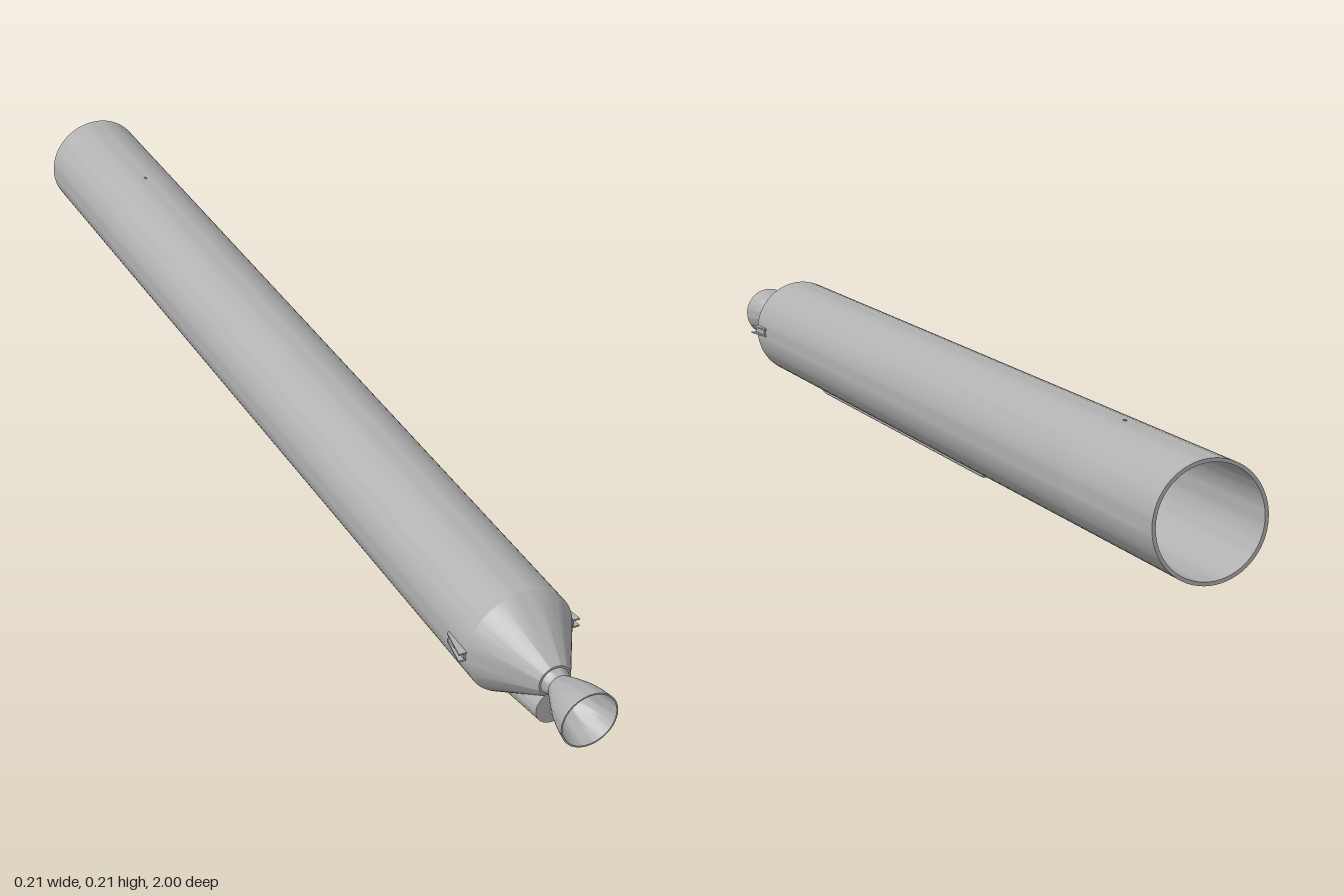
import * as THREE from 'three';
import { toCreasedNormals } from 'three/addons/utils/BufferGeometryUtils.js';

const AXIS_Y = 0.119;
const R = 0.094;

export function createModel() {
  const model = new THREE.Group();
  const metal = new THREE.MeshStandardMaterial({ color: 0xb0b0b0, side: THREE.DoubleSide });
  metal.name = 'plain grey metal';

  const add = (name, geometry, x = 0, y = 0, z = 0) => {
    const mesh = new THREE.Mesh(geometry, metal);
    mesh.name = name;
    mesh.position.set(x, y, z);
    model.add(mesh);
    return mesh;
  };

  // Revolves a [radius, z] profile around the long axis
  const turn = (name, profile, segments = 64) => {
    const points = profile.map(([r, z]) => new THREE.Vector2(r, z));
    const geometry = new THREE.LatheGeometry(points, segments).rotateX(Math.PI / 2);
    return add(name, toCreasedNormals(geometry, 0.45), 0, AXIS_Y, 0);
  };

  // Tank shell, and hollow rear skirt with a thin wall
  turn('tank', [[R, -0.69], [R, 0.79]]);
  turn('rearSkirt', [[R - 0.006, -0.69], [R - 0.006, -1], [R, -1], [R, -0.69]]);

  // Domed bulkhead closing the inside of the skirt
  const dome = [];
  for (let i = 0; i <= 10; i++) {
    const a = (i / 10) * Math.PI / 2;
    dome.push([(R - 0.006) * Math.sin(a), -0.69 - 0.045 * Math.cos(a)]);
  }
  turn('tankBulkhead', dome);

  // Tapered engine bay with a small front plate
  turn('engineCone', [[R, 0.79], [0.028, 0.898], [0, 0.898]]);

  // Thrust chamber neck and flared bell
  turn('nozzle', [
    [0.026, 0.895], [0.021, 0.905], [0.02, 0.912], [0.025, 0.922], [0.033, 0.94],
    [0.04, 0.958], [0.045, 0.977], [0.049, 1], [0.0465, 1], [0.0425, 0.977],
    [0.0375, 0.958], [0.0305, 0.94], [0.0225, 0.922], [0.018, 0.912],
  ], 48);
  turn('injectorFace', [[0.02, 0.908], [0.012, 0.903], [0, 0.901]], 32);

  // Slanted exhaust fairing below the cone
  const fairing = new THREE.CylinderGeometry(0.03, 0.028, 0.11, 32).rotateX(Math.PI / 2);
  const pos = fairing.attributes.position;
  for (let i = 0; i < pos.count; i++) {
    pos.setY(i, pos.getY(i) + (pos.getZ(i) / 0.11) * 0.022);
  }
  fairing.computeVertexNormals();
  add('exhaustFairing', toCreasedNormals(fairing, 0.6), 0, 0.058, 0.842);
  add('exhaustPipe', new THREE.CylinderGeometry(0.005, 0.005, 0.012, 16, 1, true)
    .rotateX(Math.PI / 2), 0, 0.06, 0.9);

  // Feed pipes running below the tank, bent into it at both ends
  const pipe = (name, angle, radius, reach, front, back) => {
    const at = (r, z) => new THREE.Vector3(
      -Math.sin(angle) * r, AXIS_Y - Math.cos(angle) * r, z);
    const path = new THREE.CurvePath();
    const bend = 0.025;
    const inner = R - 0.006;
    path.add(new THREE.QuadraticBezierCurve3(at(inner, front), at(reach, front - 0.012), at(reach, front - bend - 0.012)));
    path.add(new THREE.LineCurve3(at(reach, front - bend - 0.012), at(reach, back + bend + 0.012)));
    path.add(new THREE.QuadraticBezierCurve3(at(reach, back + bend + 0.012), at(reach, back + 0.012), at(inner, back)));
    add(name, new THREE.TubeGeometry(path, 160, radius, 14, false));
  };
  pipe('longPipe', 0.21, 0.0085, 0.11, 0.66, -0.72);
  pipe('shortPipe', 0, 0.0065, 0.106, 0.66, -0.205);

  // Side brackets: paired tapered plates joined by a web
  const wedge = new THREE.Shape([
    new THREE.Vector2(R - 0.004, 0.73), new THREE.Vector2(0.098, 0.735),
    new THREE.Vector2(0.107, 0.79), new THREE.Vector2(R - 0.004, 0.79),
  ]);
  for (const side of [1, -1]) {
    const name = side > 0 ? 'left' : 'right';
    for (const [part, y, h] of [['LowerPlate', 0.113, 0.003], ['UpperPlate', 0.126, 0.003]]) {
      const plate = new THREE.ExtrudeGeometry(wedge, { depth: h, bevelEnabled: false })
        .rotateX(Math.PI / 2);
      const mesh = add(name + 'Bracket' + part, plate, 0, y + h, 0);
      if (side < 0) mesh.scale.x = -1;
    }
    add(name + 'BracketWeb', new THREE.BoxGeometry(0.004, 0.012, 0.05), side * 0.0955, 0.121, 0.763);
  }

  // Small stud on the crest of the skirt
  add('crestStud', new THREE.BoxGeometry(0.004, 0.003, 0.006), 0, AXIS_Y + R, -0.72);

  return model;
}
